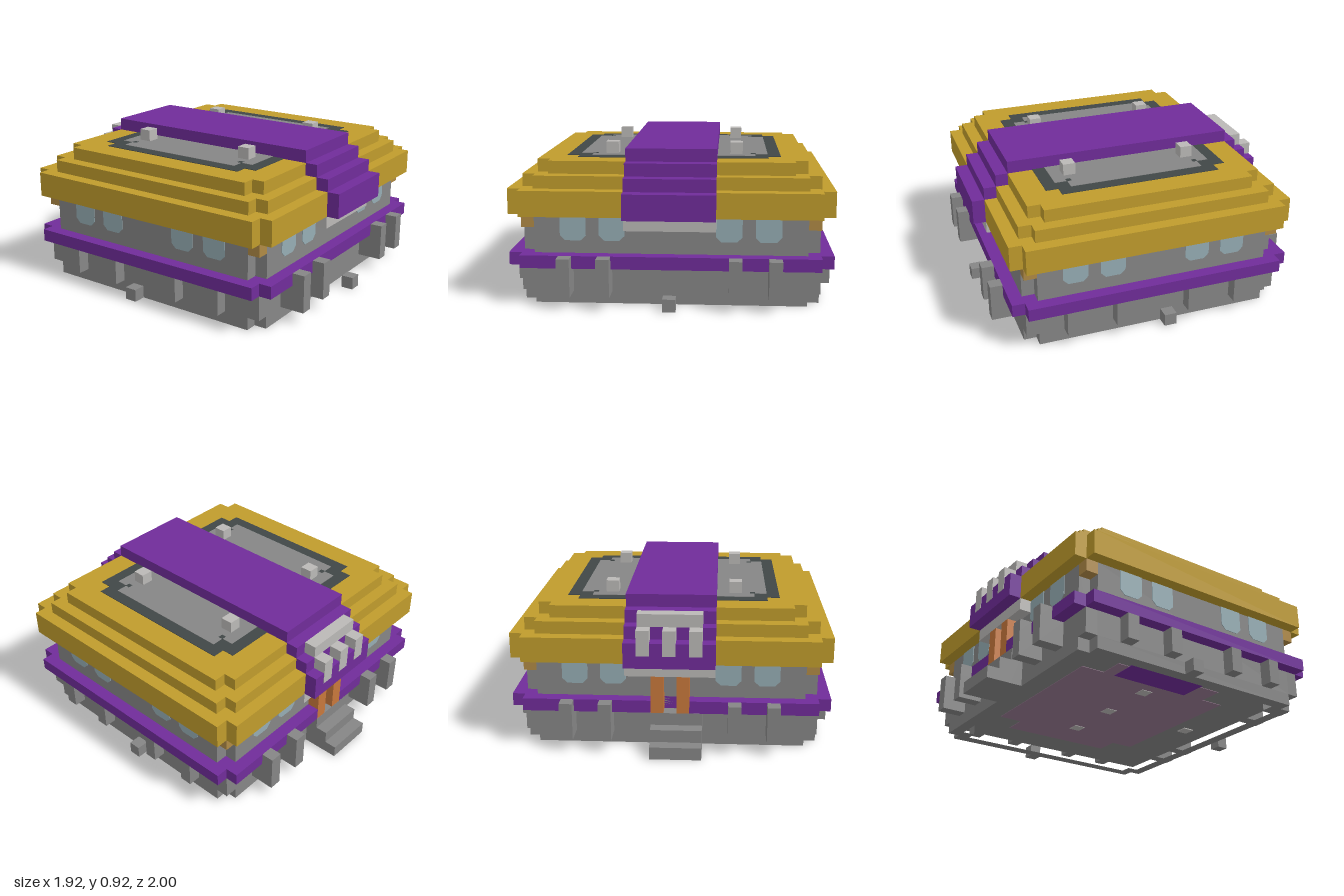
import * as THREE from 'three';

const U = 1 / 13; // size of one block

function material(name, color) {
  const m = new THREE.MeshStandardMaterial({ color });
  m.name = name;
  return m;
}

export function createModel() {
  const group = new THREE.Group();
  const stone = material('stone grey', 0x868686);
  const pale = material('pale stone', 0xbbb9b7);
  const slate = material('dark slate', 0x404747);
  const gold = material('gold', 0xc09c2c);
  const purple = material('purple', 0x702c9a);
  const glass = material('window blue', 0x96adb4);
  const wood = material('orange wood', 0xc8783c);
  const tan = material('tan', 0xb08a45);
  const mauve = material('mauve', 0x967890);

  const add = (name, geometry, mat) => {
    const mesh = new THREE.Mesh(geometry, mat);
    mesh.name = name;
    group.add(mesh);
    return mesh;
  };

  // Box given by its limits in block units
  const box = (name, mat, x0, x1, y0, y1, z0, z1) => {
    const g = new THREE.BoxGeometry((x1 - x0) * U, (y1 - y0) * U, (z1 - z0) * U);
    g.translate((x0 + x1) / 2 * U, (y0 + y1) / 2 * U, (z0 + z1) / 2 * U);
    return add(name, g, mat);
  };

  // Plan outline with stepped corners, and an optional doorway cut in the back
  const plan = (hx, z0, z1, n = 1, door = 0) => {
    const pts = [[hx, z0 + n], [hx, z1 - n], [hx - n, z1 - n], [hx - n, z1],
      [n - hx, z1], [n - hx, z1 - n], [-hx, z1 - n], [-hx, z0 + n],
      [n - hx, z0 + n], [n - hx, z0]];
    if (door) pts.push([-door, z0], [-door, z0 + 1], [door, z0 + 1], [door, z0]);
    pts.push([hx - n, z0], [hx - n, z0 + n]);
    return pts.map(([x, z]) => new THREE.Vector2(x * U, -z * U));
  };
  const slab = (name, mat, outline, y0, y1, hole) => {
    const shape = new THREE.Shape(outline);
    if (hole) shape.holes.push(new THREE.Path(hole));
    const g = new THREE.ExtrudeGeometry(shape, { depth: (y1 - y0) * U, bevelEnabled: false });
    g.rotateX(-Math.PI / 2).translate(0, y0 * U, 0);
    return add(name, g, mat);
  };

  // Foundation rim, walls and band
  slab('foundationRim', stone, plan(11.5, -10, 11), 0, 1, plan(10.5, -9, 10));
  slab('walls', stone, plan(11.5, -10, 11), 1, 7);
  slab('purpleBand', purple, plan(12.5, -11, 12, 1, 1.5), 3, 4);

  // Corner posts and tan corner brackets under the roof
  for (const s of [-1, 1]) {
    const [x0, x1] = s > 0 ? [10.5, 11.5] : [-11.5, -10.5];
    for (const z of [-10, 10]) {
      box('cornerPost', stone, x0, x1, 1, 3, z, z + 1);
      box('cornerBracket', tan, x0, x1, 6, 7, z, z + 1);
    }
  }

  // Buttresses on the front and back
  for (const x of [-8, -5, 5, 8]) {
    box('frontButtress', stone, x - 0.5, x + 0.5, 1, 3, 11, 13);
    box('frontButtressTop', stone, x - 0.5, x + 0.5, 3, 4, 12, 13);
    box('backButtress', stone, x - 0.5, x + 0.5, 1, 3, -12, -10);
    box('backButtressTop', stone, x - 0.5, x + 0.5, 3, 4, -12, -11);
  }

  // Buttresses and small foot blocks on the sides
  for (const s of [-1, 1]) {
    const [x0, x1] = s > 0 ? [11.5, 12.5] : [-12.5, -11.5];
    for (const z of [-7, -3, 3, 7]) box('sideButtress', stone, x0, x1, 1, 3, z, z + 1);
    box('sideFootBlock', stone, x0, x1, 0, 1, -1, 0);
  }
  box('frontFootBlock', stone, -0.5, 0.5, 0, 1, 12, 13);

  // Windows: thin plates with clipped lower corners
  const pane = new THREE.Shape([[-1, 7], [-1, 5.4], [-0.6, 5], [0.6, 5], [1, 5.4], [1, 7]]
    .map(([x, y]) => new THREE.Vector2(x * U, y * U)));
  const paneGeometry = new THREE.ExtrudeGeometry(pane, { depth: 0.004, bevelEnabled: false });
  const windowAt = (x, z, turn) => {
    const w = add('window', paneGeometry, glass);
    w.position.set(x * U, 0, z * U);
    w.rotation.y = turn;
  };
  for (const x of [-7.5, -4.5, 4.5, 7.5]) {
    windowAt(x, 11, 0);
    windowAt(x, -10, Math.PI);
  }
  for (const z of [-6, -3, 4, 7]) {
    windowAt(11.5, z, Math.PI / 2);
    windowAt(-11.5, z, -Math.PI / 2);
  }

  // Back entrance: steps and door posts
  for (let i = 0; i < 3; i++) box('step', stone, -2.5, 1.5, 0, i + 1 - 0.01, i - 13, i - 12);
  box('doorPost', wood, 0.5, 1.5, 3, 6, -11, -10);
  box('doorPost', wood, -1.5, -0.5, 3, 6, -11, -10);

  // Stepped gold roof
  slab('roofEaves', gold, plan(12.5, -11, 12), 7, 9);
  slab('roofMiddle', gold, plan(11.5, -10, 11), 9, 10);
  slab('roofTop', gold, plan(10.5, -9, 10), 10, 11);

  // Flat roof panel with a dark frame
  slab('roofFrame', slate, plan(8.5, -7, 8), 11, 11.04);
  slab('roofPanel', stone, plan(7.5, -6, 7), 11.04, 11.07);
  for (const x of [-5, 5]) {
    for (const z of [-5, 5]) box('roofStud', pale, x - 0.5, x + 0.5, 11, 12, z, z + 1);
  }
  // Small fillets in the inner corners of the frame
  for (const sx of [-1, 1]) {
    for (const sz of [-1, 1]) {
      const x = sx * 6.35, z = 0.5 + sz * 5.35;
      box('frameFillet', slate, x - 0.2, x + 0.2, 11, 11.08, z - 0.2, z + 0.2);
    }
  }

  // Purple strip stepping over the roof
  [[7, 9, 13], [9, 10, 12], [10, 11, 11], [11, 12, 10]].forEach(([y0, y1, z]) =>
    box('roofStrip', purple, -3.5, 3.5, y0, y1, 1 - z, z));
  box('frontLintel', pale, -3.5, 3.5, 6, 7, 11, 12);
  box('backLintel', pale, -3.5, 3.5, 6, 7, -11, -10);

  // Pale crest at the back end of the strip
  box('crestBar', pale, -2.5, 2.5, 10, 11, -11, -10);
  for (const x of [-2, 0, 2]) box('crestPost', pale, x - 0.5, x + 0.5, 8, 10, -12.04, -11);

  // Inlays on the underside of the floor
  slab('floorInlay', mauve, plan(8.5, -7, 7, 2), 0.96, 1);
  box('floorPanel', purple, -9.5, -6.5, 0.93, 1, -4, 3);
  for (const x of [-5, 0, 5]) box('floorStud', pale, x - 0.5, x + 0.5, 0.92, 1, -0.5, 0.5);
  box('floorStud', pale, -0.5, 0.5, 0.92, 1, 8, 9);

  return group;
}
